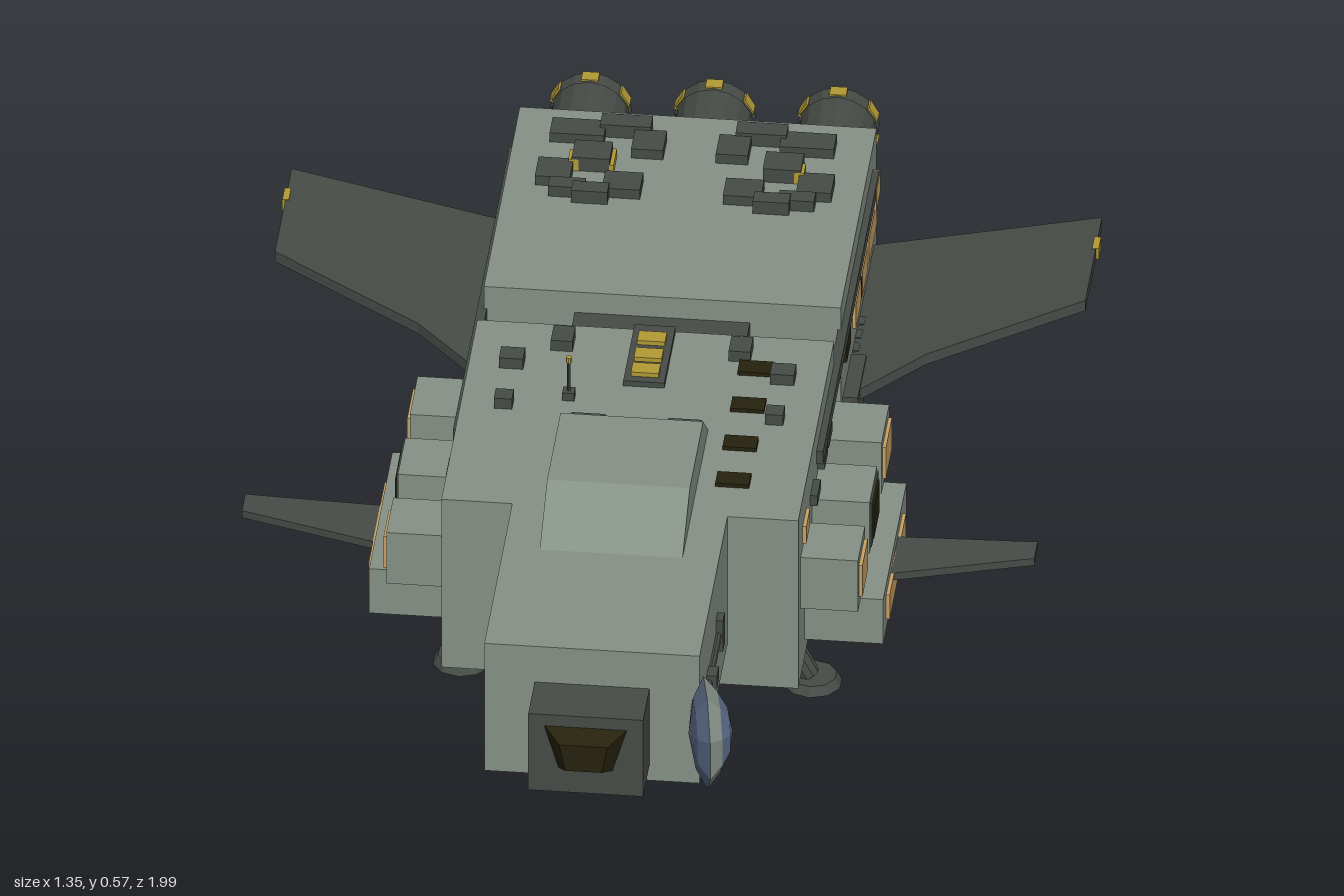
import * as THREE from 'three';

const mat = (name, color) => Object.assign(new THREE.MeshStandardMaterial({ color }), { name, flatShading: true });

export function createModel() {
  const hull = mat('hull', 0x869186), dark = mat('dark metal', 0x474c47), glass = mat('dark glass', 0x26220e);
  const amber = mat('amber panel', 0xc8a264), gold = mat('gold', 0xb39b35), blue = mat('dish blue', 0x5c6b88);
  const root = new THREE.Group();
  root.name = 'shuttle';

  const add = (name, geo, m) => {
    const mesh = new THREE.Mesh(geo, m);
    mesh.name = name;
    root.add(mesh);
    return mesh;
  };
  // box given by its extents on each axis
  const box = (name, m, x0, x1, y0, y1, z0, z1) => {
    const b = add(name, new THREE.BoxGeometry(Math.abs(x1 - x0), y1 - y0, Math.abs(z1 - z0)), m);
    b.position.set((x0 + x1) / 2, (y0 + y1) / 2, (z0 + z1) / 2);
    return b;
  };
  // cylinder between two points
  const rod = (name, m, a, b, r0, r1 = r0, sides = 8) => {
    const A = new THREE.Vector3(...a), B = new THREE.Vector3(...b), d = B.clone().sub(A);
    const c = add(name, new THREE.CylinderGeometry(r1, r0, d.length(), sides), m);
    c.position.copy(A).add(B).multiplyScalar(0.5);
    c.quaternion.setFromUnitVectors(new THREE.Vector3(0, 1, 0), d.normalize());
    return c;
  };
  // convex solid between two matching outlines
  const loft = (name, m, a, b) => {
    const pos = [], n = a.length;
    const tri = (...p) => p.forEach(v => pos.push(...v));
    for (let i = 0; i < n; i++) {
      const j = (i + 1) % n;
      tri(a[i], a[j], b[j]);
      tri(a[i], b[j], b[i]);
      if (i > 0 && i < n - 1) { tri(a[0], a[i + 1], a[i]); tri(b[0], b[i], b[i + 1]); }
    }
    const g = new THREE.BufferGeometry();
    g.setAttribute('position', new THREE.Float32BufferAttribute(pos, 3));
    g.computeVertexNormals();
    return add(name, g, m);
  };

  // main hull sections
  box('midHull', hull, -0.295, 0.295, 0.16, 0.49, -0.1, 0.44);
  box('rearHull', hull, -0.295, 0.295, 0.16, 0.49, -0.74, -0.2);
  box('neck', dark, -0.145, 0.145, 0.22, 0.45, -0.21, -0.09);
  box('noseHull', hull, -0.178, 0.178, 0.24, 0.49, 0.43, 0.86);

  // raised cabin roof
  const profile = new THREE.Shape([[0.18, 0.485], [0.58, 0.485], [0.46, 0.555], [0.26, 0.555]].map(p => new THREE.Vector2(-p[0], p[1])));
  const roof = add('cabinRoof', new THREE.ExtrudeGeometry(profile, { depth: 0.236, bevelEnabled: false }), hull);
  roof.rotation.y = Math.PI / 2;
  roof.position.x = -0.118;
  for (const x of [-0.08, 0.08]) box('roofHinge', dark, x - 0.028, x + 0.028, 0.49, 0.507, 0.183, 0.195);

  // nose window
  box('noseFrame', dark, -0.095, 0.095, 0.27, 0.42, 0.85, 0.955);
  const pane = (z, t, b, y0, y1) => [[-b, y0, z], [b, y0, z], [t, y1, z], [-t, y1, z]];
  loft('noseWindow', glass, pane(0.95, 0.072, 0.047, 0.315, 0.4), pane(0.99, 0.04, 0.03, 0.335, 0.385));

  // guns under the nose
  for (const x of [-0.13, -0.055, 0.055, 0.13]) {
    rod('gunBarrel', dark, [x, 0.225, 0.67], [x, 0.225, 0.81], 0.009);
    box('gunMount', dark, x - 0.007, x + 0.007, 0.225, 0.245, 0.7, 0.77);
    rod('gunTip', gold, [x, 0.225, 0.81], [x, 0.225, 0.82], 0.011);
  }

  // dish on its arm
  rod('dishArm', dark, [0.182, 0.37, 0.59], [0.182, 0.37, 0.88], 0.006);
  box('armMount', dark, 0.17, 0.19, 0.34, 0.4, 0.59, 0.615);
  box('armJoint', dark, 0.17, 0.195, 0.357, 0.383, 0.725, 0.755);
  const dish = new THREE.Group();
  dish.name = 'dish';
  const ring = (name, pts, m) => {
    const g = new THREE.LatheGeometry(pts.map(p => new THREE.Vector2(...p)), 8, Math.PI / 8);
    const mesh = new THREE.Mesh(g, m);
    mesh.name = name;
    dish.add(mesh);
  };
  ring('dishBack', [[0, -0.028], [0.06, -0.018], [0.095, 0]], blue);
  ring('dishRim', [[0.095, 0], [0.068, 0.022]], hull);
  ring('dishFace', [[0.068, 0.022], [0.04, 0.038], [0, 0.045]], blue);
  blue.side = hull.side = THREE.DoubleSide;
  dish.position.set(0.192, 0.367, 0.9);
  dish.rotation.set(0, 0.2, -Math.PI / 2);
  root.add(dish);

  // roof details
  box('roofGrille', dark, -0.035, 0.033, 0.49, 0.5, -0.1, 0.07);
  for (const z of [-0.055, -0.005, 0.04]) box('roofLamp', gold, -0.024, 0.022, 0.495, 0.508, z - 0.015, z + 0.015);
  for (const z of [0, 0.11, 0.225, 0.335]) box('roofWindow', glass, 0.148, 0.204, 0.488, 0.497, z - 0.018, z + 0.018);
  for (const s of [-1, 1]) for (const [x, z, w, d] of [[0.147, -0.045, 0.036, 0.046], [0.224, 0.022, 0.04, 0.035], [0.224, 0.145, 0.03, 0.03]])
    box('roofBox', dark, s * x - w / 2, s * x + w / 2, 0.49, 0.51, z - d / 2, z + d / 2);
  box('antennaBase', dark, -0.13, -0.11, 0.49, 0.505, 0.105, 0.125);
  rod('antenna', dark, [-0.12, 0.5, 0.115], [-0.12, 0.56, 0.115], 0.003);
  rod('antennaTip', gold, [-0.12, 0.56, 0.115], [-0.12, 0.57, 0.115], 0.005);

  // engines
  box('engineBlock', dark, -0.275, 0.275, 0.265, 0.39, -0.83, -0.74);
  rod('enginePipe', dark, [-0.28, 0.395, -0.765], [0.28, 0.395, -0.765], 0.013);
  for (const x of [-0.22, -0.08, 0.08, 0.22]) box('pipeClamp', dark, x - 0.012, x + 0.012, 0.375, 0.413, -0.785, -0.74);
  for (const x of [-0.205, 0, 0.205]) {
    rod('engine', dark, [x, 0.328, -0.82], [x, 0.328, -0.975], 0.061, 0.064, 16);
    const nozzle = add('nozzle', new THREE.LatheGeometry([[0.067, 0], [0.067, 0.03], [0.042, 0.03], [0.036, 0.005]].map(p => new THREE.Vector2(...p)), 16), dark);
    nozzle.position.set(x, 0.328, -0.968);
    nozzle.rotation.x = -Math.PI / 2;
    rod('engineCore', gold, [x, 0.328, -0.97], [x, 0.328, -0.985], 0.04, 0.03, 12);
    for (let i = 0; i < 6; i++) {
      const a = (i + 0.5) * Math.PI / 3;
      const tab = add('nozzleTab', new THREE.BoxGeometry(0.028, 0.007, 0.024), gold);
      tab.position.set(x + 0.065 * Math.cos(a), 0.328 + 0.065 * Math.sin(a), -0.986);
      tab.rotation.z = a - Math.PI / 2;
    }
  }
  dark.side = THREE.DoubleSide;

  for (const s of [-1, 1]) {
    // panel lying on a side wall at distance x
    const panel = (name, m, x, y0, y1, z0, z1, t = 0.006) => box(name, m, s * (x - 0.003), s * (x + t), y0, y1, z0, z1);

    // flat tapered wing from (x, y, z) outline
    const wing = (name, pts, h) => loft(name, dark,
      pts.map(([x, y, z]) => [s * x, y - h, z]), pts.map(([x, y, z]) => [s * x, y + h, z]));
    wing('rearWing', [[0.285, 0.275, -0.7], [0.285, 0.275, -0.23], [0.42, 0.3, -0.35], [0.67, 0.345, -0.47], [0.67, 0.345, -0.72]], 0.01);
    wing('frontWing', [[0.41, 0.255, 0.125], [0.41, 0.255, 0.24], [0.655, 0.255, 0.165], [0.655, 0.255, 0.115]], 0.007);
    box('wingLight', gold, s * 0.664, s * 0.675, 0.335, 0.356, -0.66, -0.625);
    box('wingRoot', dark, s * 0.29, s * 0.32, 0.235, 0.295, -0.36, -0.23);

    // side pods with windows
    [[-0.065, 0.05, amber], [0.12, 0.23, glass], [0.3, 0.405, amber]].forEach(([z0, z1, m]) => {
      box('sidePod', hull, s * 0.285, s * 0.39, 0.295, 0.395, z0, z1);
      if (m === glass) panel('podFrame', dark, 0.39, 0.305, 0.39, z0 + 0.005, z1 - 0.005, 0.003);
      panel('podWindow', m, 0.39, 0.317, 0.378, z0 + 0.013, z1 - 0.013);
    });
    for (const z of [0.085, 0.265]) panel('podConduit', dark, 0.295, 0.31, 0.345, z - 0.035, z + 0.035, 0.03);
    box('sponson', hull, s * 0.285, s * 0.425, 0.195, 0.282, -0.005, 0.345);
    panel('sponsonWindow', amber, 0.425, 0.215, 0.262, 0.055, 0.3);

    // wall rail and markings
    box('sideRail', dark, s * 0.29, s * 0.306, 0.422, 0.447, -0.68, 0.165);
    for (const z of [0.06, 0.125, 0.235]) panel('wallBox', dark, 0.295, 0.402, 0.422, z - 0.025, z + 0.025, 0.012);
    for (const z of [0.345, -0.01]) panel('wallPanel', amber, 0.295, 0.402, 0.435, z - 0.028, z + 0.028);
    panel('midVent', dark, 0.295, 0.19, 0.222, -0.045, 0.08, 0.014);
    panel('rearWindow', glass, 0.295, 0.358, 0.393, -0.3, -0.238);
    for (const [z0, z1] of [[-0.45, -0.375], [-0.55, -0.47], [-0.69, -0.57]]) panel('rearPanel', amber, 0.295, 0.335, 0.382, z0, z1);
    panel('rearWindow', glass, 0.295, 0.34, 0.377, -0.468, -0.452);
    panel('rearPanel', amber, 0.295, 0.4, 0.442, -0.69, -0.63, 0.012);
    for (const z of [-0.39, -0.43, -0.47]) panel('rearSlot', dark, 0.295, 0.23, 0.29, z - 0.012, z + 0.012, 0.01);
    panel('rearVent', dark, 0.295, 0.19, 0.225, -0.68, -0.495, 0.012);

    // raised machinery on the rear roof
    [[0.19, -0.665, 0.09, 0.047, 0.018], [0.112, -0.683, 0.084, 0.035, 0.024], [0.07, -0.638, 0.053, 0.06, 0.018],
      [0.158, -0.587, 0.063, 0.053, 0.026], [0.216, -0.54, 0.058, 0.058, 0.018], [0.19, -0.495, 0.06, 0.03, 0.02],
      [0.15, -0.48, 0.06, 0.03, 0.024], [0.1, -0.513, 0.063, 0.053, 0.018]].forEach(([x, z, w, d, h]) =>
      box('roofMachinery', dark, s * x - w / 2, s * x + w / 2, 0.49, 0.49 + h, z - d / 2, z + d / 2));
    box('machineryLight', gold, s * 0.178, s * 0.195, 0.49, 0.512, -0.59, -0.56);
    if (s < 0) box('machineryLight', gold, -0.128, -0.12, 0.49, 0.505, -0.61, -0.56);

    // landing legs with open doors
    for (const z of [0.175, -0.46]) {
      rod('legStrut', dark, [s * 0.2, 0.17, z], [s * 0.283, 0.015, z], 0.025, 0.019, 10);
      rod('legSocket', dark, [s * 0.205, 0.162, z], [s * 0.225, 0.12, z], 0.032, 0.03, 10);
      rod('legFoot', dark, [s * 0.29, 0, z], [s * 0.29, 0.016, z], 0.049, 0.04, 10);
      const door = box('legDoor', dark, s * 0.178, s * 0.245, 0.047, 0.163, z - 0.08, z - 0.074);
      door.rotation.x = 0.34;
    }
  }
  return root;
}
